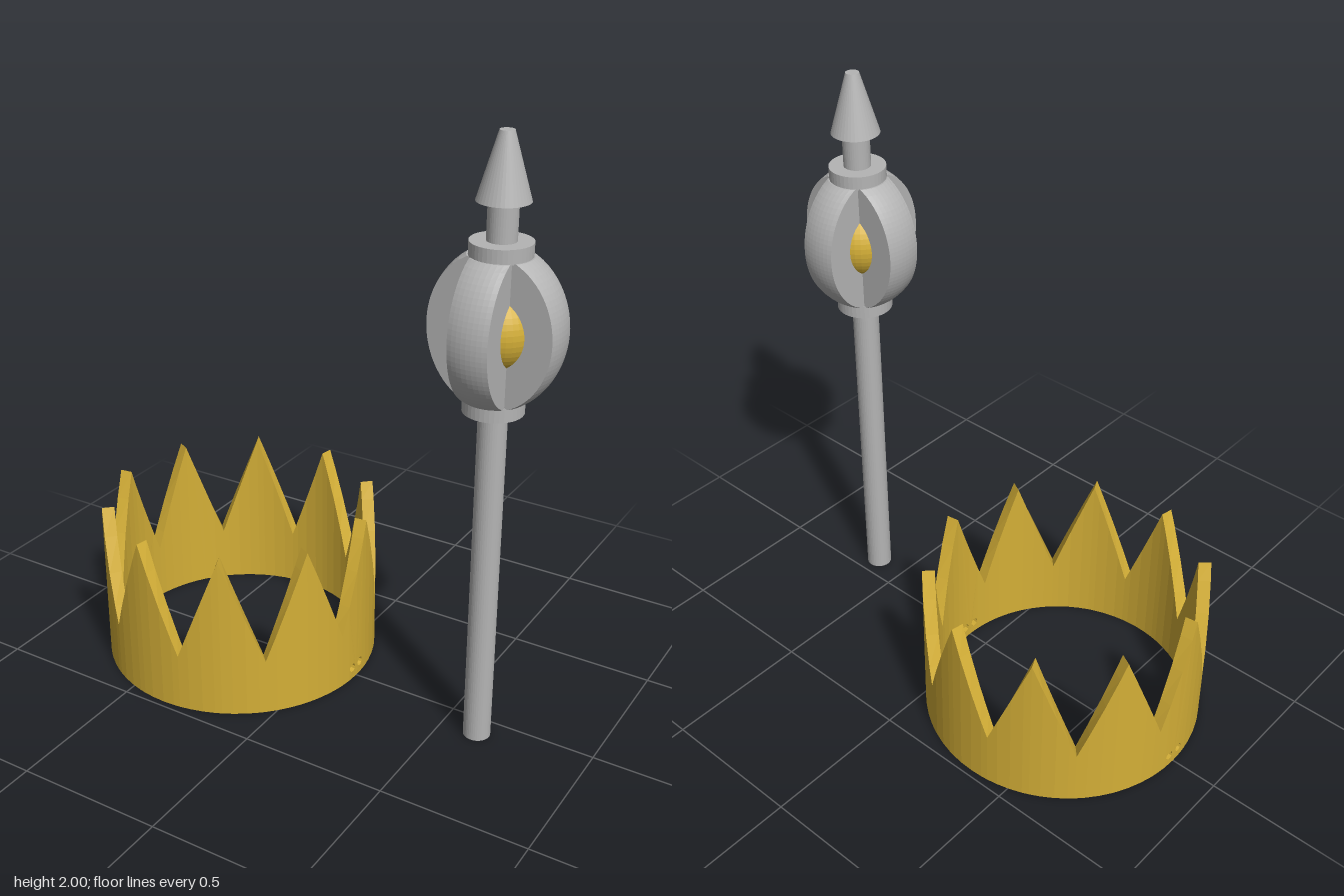
import * as THREE from 'three';
import { mergeGeometries } from 'three/addons/utils/BufferGeometryUtils.js';

const gold = new THREE.MeshStandardMaterial({ name: 'gold', color: 0xd4af37, flatShading: true });
const silver = new THREE.MeshStandardMaterial({ name: 'silver', color: 0xb4b4b4, flatShading: true });

const DEG = Math.PI / 180;
const R_OUT = 0.478, R_IN = 0.435;      // crown radii
const VALLEY = 0.2, PEAK = 0.58;        // crown edge heights

function mesh(name, geometry, material, y = 0) {
  const m = new THREE.Mesh(geometry, material);
  m.name = name;
  m.position.y = y;
  return m;
}

// One narrow upright strip of the crown wall, bent around the ring.
// Angles run from +z towards +x; hole is the angle of an optional round hole.
function wallStrip(a0, a1, h0, h1, hole) {
  const shape = new THREE.Shape();
  shape.moveTo(a0, 0);
  shape.lineTo(a1, 0);
  shape.lineTo(a1, h1);
  shape.lineTo(a0, h0);
  shape.closePath();
  if (hole !== undefined) {
    const path = new THREE.Path();
    path.absellipse(hole, 0.043, 0.016 / R_OUT, 0.016, 0, Math.PI * 2, true);
    shape.holes.push(path);
  }
  const flat = new THREE.ExtrudeGeometry(shape, { depth: R_OUT - R_IN, bevelEnabled: false, curveSegments: 5 });
  const p = flat.attributes.position;
  const out = [];
  for (let i = 0; i < p.count; i += 3) {
    // skip the seams shared with the neighbouring strips
    const seam = [a0, a1].some((a) => [0, 1, 2].every((k) => Math.abs(p.getX(i + k) - a) < 1e-5));
    if (seam) continue;
    for (let k = i; k < i + 3; k++) {
      const r = R_IN + p.getZ(k), a = p.getX(k);
      out.push(r * Math.sin(a), p.getY(k), r * Math.cos(a));
    }
  }
  const g = new THREE.BufferGeometry();
  g.setAttribute('position', new THREE.Float32BufferAttribute(out, 3));
  return g;
}

// Ten-pointed ring with a pair of small holes on each side
function crownGeometry() {
  const splits = [0, 0.25, 0.56, 0.84, 1];
  const holes = [87, 92.9, 267, 272.9];
  const strips = [];
  for (let flank = 0; flank < 20; flank++) {
    const start = 8 + flank * 18;
    const height = (f) => VALLEY + (PEAK - VALLEY) * (flank % 2 ? 1 - f : f);
    for (let s = 0; s < 4; s++) {
      const a0 = start + 18 * splits[s], a1 = start + 18 * splits[s + 1];
      const hole = holes.find((h) => h > a0 && h < a1);
      strips.push(wallStrip(a0 * DEG, a1 * DEG, height(splits[s]), height(splits[s + 1]),
        hole === undefined ? undefined : hole * DEG));
    }
  }
  const g = mergeGeometries(strips);
  g.computeVertexNormals();
  return g;
}

// Four broad ribs: an ellipsoid trimmed to a cross, lofted from level loops
function cageGeometry() {
  const R = 0.208, H = 0.25, W = 0.063, HALF = 0.22, ROWS = 28, ARC = 8;
  const pos = [], index = [];
  const n = 4 * (ARC + 2);
  for (let i = 0; i <= ROWS; i++) {
    const y = -HALF + (2 * HALF * i) / ROWS;
    const r = R * Math.sqrt(1 - (y / H) ** 2);
    const spread = Math.asin(W / r);
    for (let arm = 0; arm < 4; arm++) {
      const mid = arm * Math.PI / 2;
      for (let k = 0; k <= ARC; k++) {
        const a = mid + spread * (2 * k / ARC - 1);
        pos.push(r * Math.sin(a), y, r * Math.cos(a));
      }
      const c = mid + Math.PI / 4;      // inner corner between two ribs
      pos.push(W * Math.SQRT2 * Math.sin(c), y, W * Math.SQRT2 * Math.cos(c));
    }
  }
  for (let i = 0; i < ROWS; i++) {
    for (let j = 0; j < n; j++) {
      const a = i * n + j, b = i * n + (j + 1) % n;
      index.push(a, b, b + n, a, b + n, a + n);
    }
  }
  // end caps
  const low = pos.length / 3, high = low + 1;
  pos.push(0, -HALF, 0, 0, HALF, 0);
  for (let j = 0; j < n; j++) {
    const k = (j + 1) % n;
    index.push(low, k, j, high, ROWS * n + j, ROWS * n + k);
  }
  const g = new THREE.BufferGeometry();
  g.setAttribute('position', new THREE.Float32BufferAttribute(pos, 3));
  g.setIndex(index);
  g.computeVertexNormals();
  return g;
}

export function createModel() {
  const model = new THREE.Group();
  model.name = 'crownAndSceptre';

  const crown = mesh('crown', crownGeometry(), gold);
  crown.position.x = -0.358;
  model.add(crown);

  const sceptre = new THREE.Group();
  sceptre.name = 'sceptre';
  sceptre.position.set(0.624, 0, 0.077);
  const rod = (name, rTop, rBottom, y0, y1) =>
    sceptre.add(mesh(name, new THREE.CylinderGeometry(rTop, rBottom, y1 - y0, 40), silver, (y0 + y1) / 2));
  rod('shaft', 0.045, 0.045, 0, 1.17);
  rod('lowerCollar', 0.094, 0.094, 1.16, 1.205);
  rod('upperCollar', 0.094, 0.094, 1.64, 1.685);
  rod('neck', 0.045, 0.045, 1.68, 1.81);
  rod('tip', 0.022, 0.08, 1.8, 2);
  sceptre.add(mesh('cage', cageGeometry(), silver, 1.423));
  sceptre.add(mesh('orb', new THREE.SphereGeometry(0.13, 40, 24), gold, 1.425));
  model.add(sceptre);

  return model;
}
